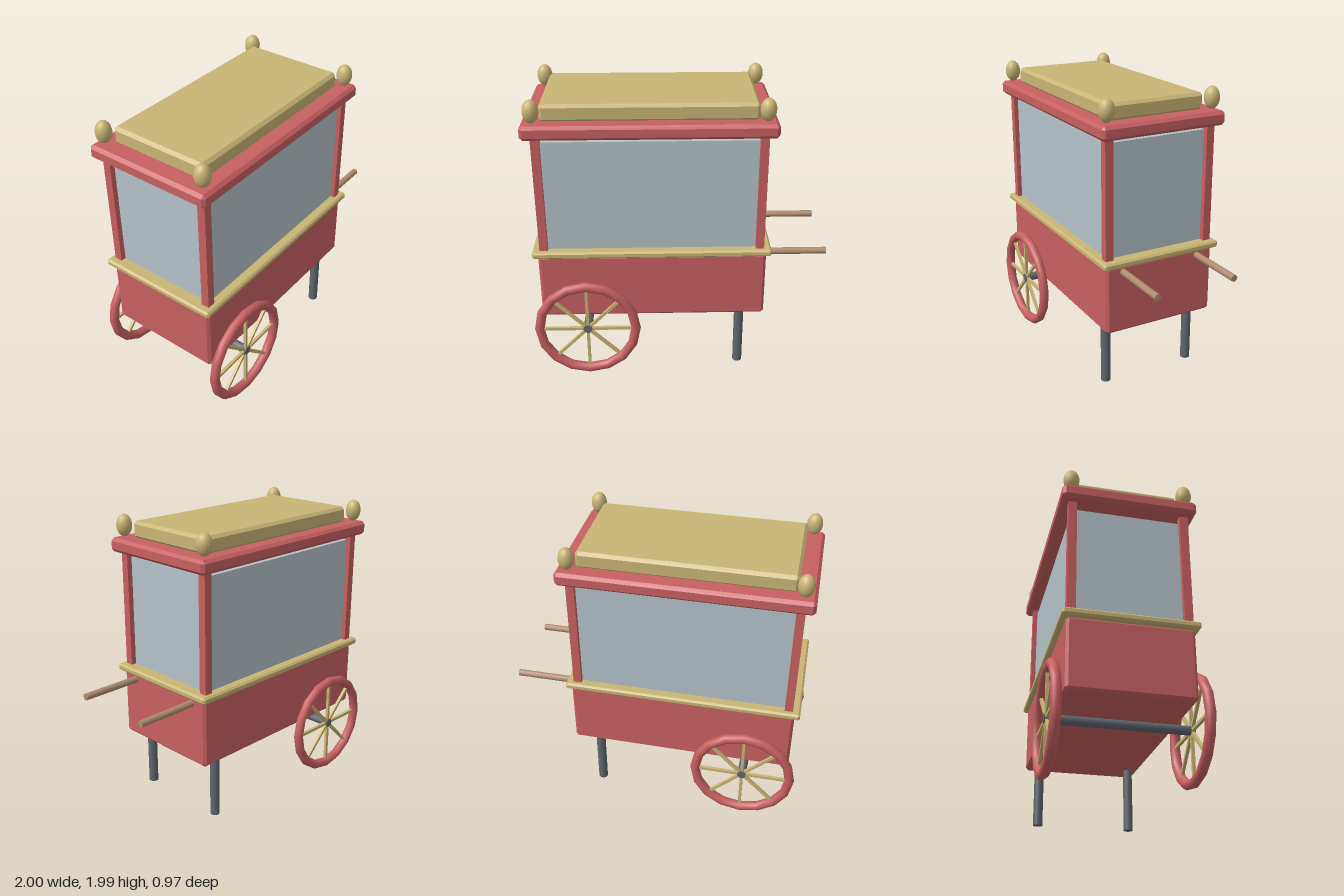
import * as THREE from 'three';
import { ConvexGeometry } from 'three/addons/geometries/ConvexGeometry.js';

const mat = (name, color, flatShading = false) => {
  const m = new THREE.MeshStandardMaterial({ color });
  m.name = name;
  m.flatShading = flatShading;
  return m;
};

// Box between two corners with every edge chamfered by c
function chamferBox(x0, x1, y0, y1, z0, z1, c) {
  const h = [(x1 - x0) / 2, (y1 - y0) / 2, (z1 - z0) / 2];
  const pts = [];
  for (const sx of [-1, 1]) for (const sy of [-1, 1]) for (const sz of [-1, 1]) {
    for (let full = 0; full < 3; full++) {
      const p = h.map((v, i) => (i === full ? v : v - c));
      pts.push(new THREE.Vector3(p[0] * sx, p[1] * sy, p[2] * sz));
    }
  }
  return new ConvexGeometry(pts).translate((x0 + x1) / 2, (y0 + y1) / 2, (z0 + z1) / 2);
}

export function createModel() {
  const red = mat('red paint', 0xc86060);
  const gold = mat('gold trim', 0xc9b575);
  const glass = mat('pale glass', 0xb5c3ca);
  const wood = mat('wood', 0xb08c6e);
  const metal = mat('dark metal', 0x5f6770);

  const cart = new THREE.Group();
  cart.name = 'cart';
  const add = (name, geo, material, x = 0, y = 0, z = 0, parent = cart) => {
    const mesh = new THREE.Mesh(geo, material);
    mesh.name = name;
    mesh.position.set(x, y, z);
    parent.add(mesh);
    return mesh;
  };

  // Body, counter, glass case and roof
  add('body', chamferBox(-0.945, 0.578, 0.44, 0.91, -0.4, 0.4, 0.018), red);
  add('counter', chamferBox(-0.98, 0.61, 0.905, 0.952, -0.43, 0.43, 0.012), gold);
  add('glassCase', new THREE.BoxGeometry(1.42, 0.765, 0.73), glass, -0.185, 1.3275, 0);
  add('roof', chamferBox(-0.99, 0.62, 1.745, 1.838, -0.442, 0.442, 0.02), red);
  add('roofPanel', chamferBox(-0.875, 0.505, 1.83, 1.945, -0.343, 0.343, 0.02), gold);

  // Corner posts and finials
  const postGeo = new THREE.BoxGeometry(0.055, 0.81, 0.055);
  const finialGeo = new THREE.SphereGeometry(0.052, 16, 12).scale(1, 1.42, 1);
  for (const x of [-0.903, 0.533]) for (const s of [-1, 1]) {
    add('post', postGeo, red, x, 1.35, s * 0.368);
    add('finial', finialGeo, gold, x < 0 ? -0.915 : 0.545, 1.918, s * 0.377);
  }

  // Push handles and rear legs
  const handleGeo = new THREE.CylinderGeometry(0.023, 0.023, 0.44, 12).rotateZ(Math.PI / 2);
  const legGeo = new THREE.CylinderGeometry(0.033, 0.033, 0.45, 12);
  for (const s of [-1, 1]) {
    add('handle', handleGeo, wood, 0.78, 0.867, s * 0.28);
    add('leg', legGeo, metal, 0.415, 0.225, s * 0.324);
  }

  // Axle
  const axleGeo = new THREE.CylinderGeometry(0.03, 0.03, 0.94, 12).rotateX(Math.PI / 2);
  add('axle', axleGeo, metal, -0.635, 0.372, 0);

  // Spoked wheels
  const rimGeo = new THREE.TorusGeometry(0.331, 0.033, 10, 16);
  const spokeGeo = new THREE.BoxGeometry(0.62, 0.02, 0.02);
  for (const s of [-1, 1]) {
    const wheel = new THREE.Group();
    wheel.name = s > 0 ? 'frontWheel' : 'backWheel';
    wheel.position.set(-0.635, 0.372, s * 0.453);
    add('rim', rimGeo, red, 0, 0, 0, wheel);
    for (let i = 0; i < 4; i++) {
      add('spokePair', spokeGeo, gold, 0, 0, 0, wheel).rotation.z = (i * Math.PI) / 4;
    }
    cart.add(wheel);
  }
  return cart;
}
